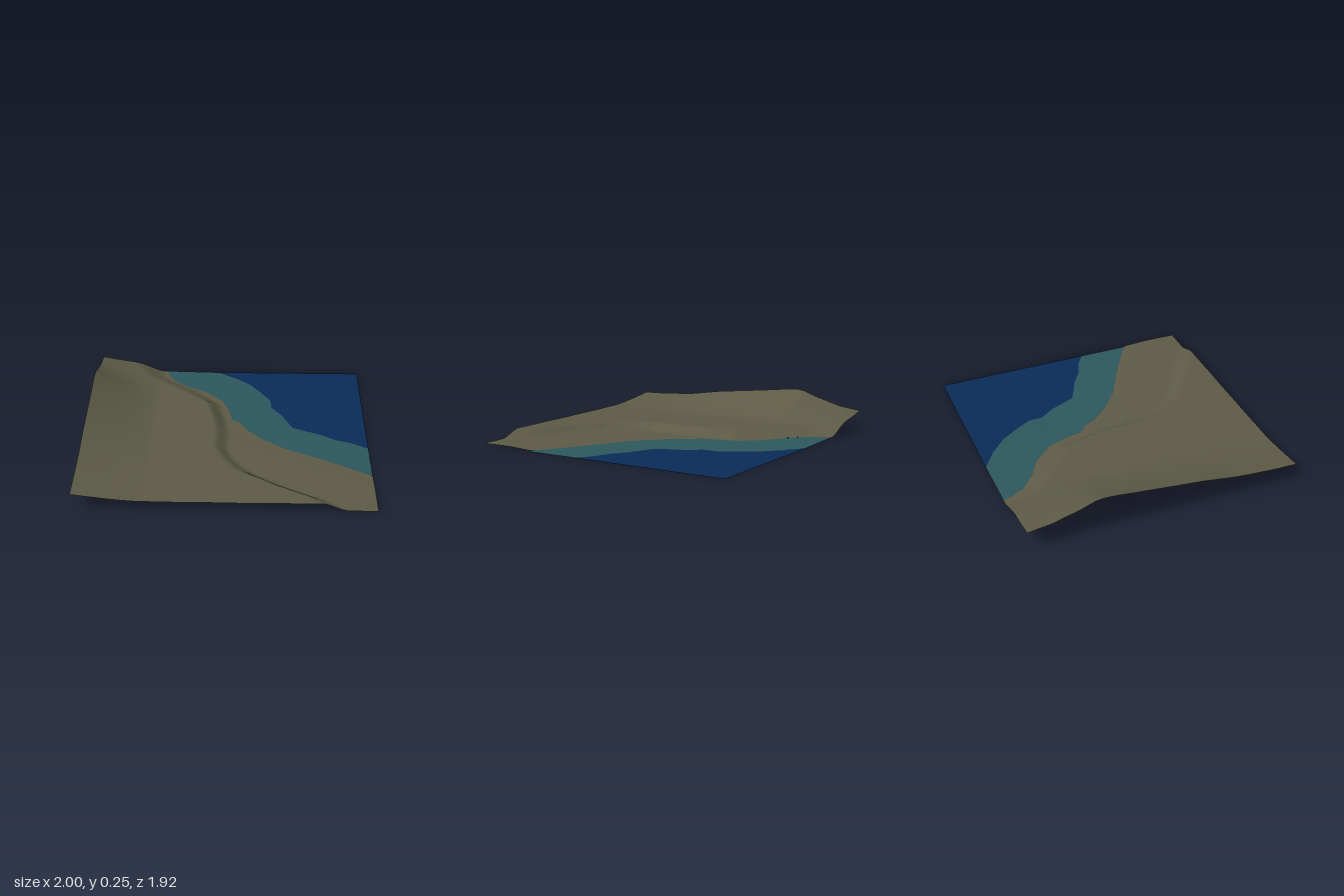
import * as THREE from 'three';

const DEPTH = 0.96;
const mat = (name, color) => {
  const m = new THREE.MeshStandardMaterial({ color, side: THREE.DoubleSide });
  m.name = name;
  return m;
};

// Piecewise linear curve through [z, value] pairs, extended past its ends
function curve(points) {
  return (z) => {
    let i = 0;
    while (i < points.length - 2 && z > points[i + 1][0]) i++;
    const [z0, v0] = points[i], [z1, v1] = points[i + 1];
    return v0 + (v1 - v0) * (z - z0) / (z1 - z0);
  };
}

// Shoreline and edge of deep water: x for each z
const coast = curve([[-0.96, -0.5], [-0.9, -0.48], [-0.8, -0.43], [-0.69, -0.31], [-0.62, -0.18],
  [-0.48, -0.05], [-0.34, 0], [-0.195, 0.03], [-0.16, 0.085], [-0.05, 0.14], [0.07, 0.25],
  [0.2, 0.41], [0.31, 0.62], [0.43, 0.83], [0.54, 1.0]]);
const deepEdge = curve([[-0.96, -0.1], [-0.85, 0.06], [-0.75, 0.165], [-0.63, 0.245],
  [-0.505, 0.315], [-0.4, 0.32], [-0.29, 0.395], [-0.11, 0.47], [-0.06, 0.57], [-0.02, 0.66],
  [0.06, 0.78], [0.1, 0.89], [0.17, 1.0]]);
// Ridge height along the left edge, and the middle of the bank above the beach
const ridge = curve([[-0.96, 0.13], [-0.8, 0.15], [-0.6, 0.205], [-0.5, 0.242], [-0.44, 0.25],
  [-0.36, 0.245], [-0.2, 0.226], [0, 0.204], [0.25, 0.178], [0.5, 0.14], [0.6, 0.131],
  [0.8, 0.118], [0.96, 0.114]]);
const bank = curve([[-0.96, -0.64], [-0.8, -0.55], [-0.6, -0.32], [-0.4, -0.12], [-0.2, -0.07],
  [0, -0.04], [0.25, -0.04], [0.4, 0.02], [0.55, 0.13], [0.7, 0.34], [0.85, 0.59], [0.96, 0.72]]);
const bankWidth = curve([[-0.96, 0.13], [-0.6, 0.13], [-0.3, 0.06], [0.3, 0.06], [0.6, 0.09], [0.96, 0.09]]);

function landHeight(x, z) {
  const w = bankWidth(z);
  const inland = 1 - THREE.MathUtils.smoothstep(x, bank(z) - w, bank(z) + w);
  const t = Math.max(0, (-x - 0.53) / 0.47);
  const shore = THREE.MathUtils.smoothstep(coast(z) - x, 0, 0.3);
  const beach = 0.008 + 0.006 * shore;
  const rough = 0.0015 * shore * Math.sin(11 * x + 4 * z) * Math.sin(9 * z - 5 * x);
  const plateau = beach + (0.064 - beach) * inland + rough;
  return plateau + (ridge(z) - plateau) * Math.pow(t, 1.35);
}

// Surface between two x curves, with height given by a rule of (x, z, u)
function sheet(name, from, to, height, cols, material) {
  const rows = 160, pos = [], index = [];
  const clampX = (x) => THREE.MathUtils.clamp(x, -1, 1);
  const width = (i) => {
    const z = -DEPTH + 2 * DEPTH * i / rows;
    return clampX(to(z)) - clampX(from(z));
  };
  for (let i = 0; i <= rows; i++) {
    const z = -DEPTH + 2 * DEPTH * i / rows;
    const x0 = clampX(from(z)), x1 = clampX(to(z));
    for (let j = 0; j <= cols; j++) {
      const u = j / cols, x = x0 + (x1 - x0) * u;
      pos.push(x, height(x, z, u), z);
    }
    if (i === rows || (width(i) < 1e-6 && width(i + 1) < 1e-6)) continue;
    for (let j = 0; j < cols; j++) {
      const a = i * (cols + 1) + j, c = a + cols + 1;
      index.push(a, c, a + 1, a + 1, c, c + 1);
    }
  }
  const g = new THREE.BufferGeometry();
  g.setAttribute('position', new THREE.Float32BufferAttribute(pos, 3));
  g.setIndex(index);
  g.computeVertexNormals();
  const mesh = new THREE.Mesh(g, material);
  mesh.name = name;
  return mesh;
}

export function createModel() {
  const group = new THREE.Group();
  group.name = 'coastalTerrain';
  const sandEdge = (z) => coast(z) - 0.025;

  group.add(
    // Hillside, plateau and bank
    sheet('land', () => -1, sandEdge, landHeight, 120, mat('olive land', 0x5e5c47)),
    // Narrow strip of sand by the water
    sheet('shoreSand', sandEdge, coast, landHeight, 3, mat('brown sand', 0x655b44)),
    // Shallow water, dipping to the deep sea
    sheet('shallowWater', coast, deepEdge, (x, z, u) => 0.008 * (1 - u), 4, mat('teal shallows', 0x2d585e)),
    sheet('deepWater', deepEdge, () => 1, () => 0, 2, mat('navy sea', 0x0b2c59)),
  );
  return group;
}
